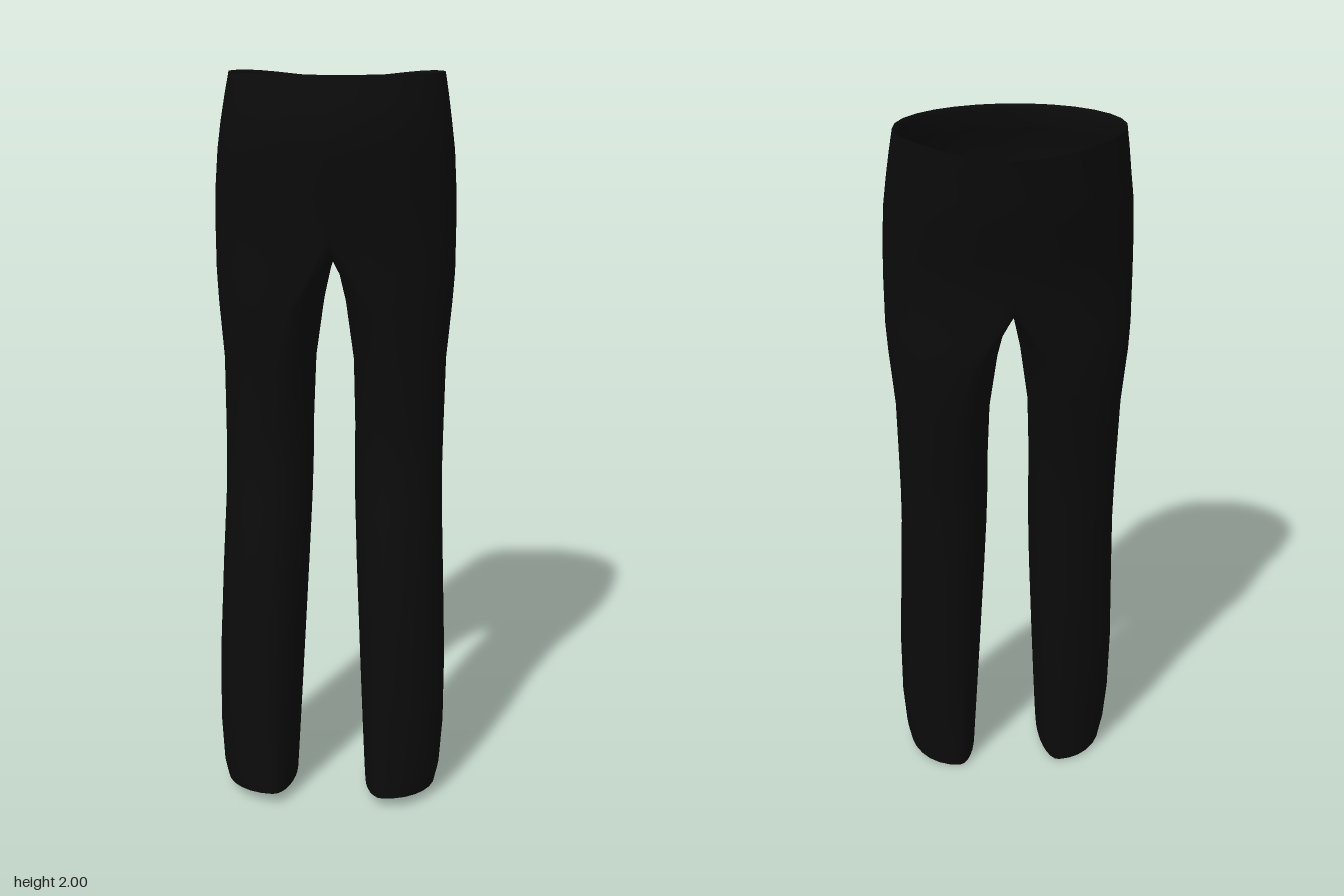
import * as THREE from 'three';
import { mergeGeometries, mergeVertices } from 'three/addons/utils/BufferGeometryUtils.js';

const HALF = 14;          // segments on the outer (or inner) half of a ring
const FULL = HALF * 2;

// Leg rings: y, inner x, centre x, outer x, back z, front z
const LEG = [
  [0.005, 0.10, 0.155, 0.30, -0.04, 0.28],
  [0.07, 0.097, 0.155, 0.311, -0.042, 0.277],
  [0.2, 0.09, 0.16, 0.32, -0.05, 0.265],
  [0.4, 0.08, 0.165, 0.32, -0.07, 0.247],
  [0.67, 0.067, 0.17, 0.31, -0.09, 0.21],
  [0.85, 0.06, 0.17, 0.303, -0.105, 0.17],
  [0.95, 0.058, 0.17, 0.302, -0.115, 0.147],
  [1.05, 0.058, 0.165, 0.303, -0.125, 0.138],
  [1.24, 0.052, 0.15, 0.306, -0.16, 0.14],
  [1.4, 0.03, 0.11, 0.32, -0.187, 0.155],
  [1.48, 0.013, 0.06, 0.325, -0.19, 0.16],
];

// Hip rings: y, outer x, back z, front z
const HIPS = [
  [1.6, 0.325, -0.195, 0.17],
  [1.7, 0.323, -0.213, 0.182],
  [1.8, 0.317, -0.248, 0.194],
  [1.87, 0.308, -0.26, 0.2],
  [1.94, 0.298, -0.272, 0.18],
  [2.0, 0.288, -0.28, 0.16],
];

// One ring, running from the front round the outside to the back, then the inside
function ring(y, xi, xc, xo, zb, zf, count, yAt = () => 0) {
  const points = [];
  for (let i = 0; i <= count; i++) {
    const t = (i % FULL) / HALF * Math.PI;
    const s = i === HALF ? 0 : Math.sin(t), c = Math.cos(t);
    const x = xc + s * (s >= 0 ? xo - xc : xc - xi);
    points.push([x, y + yAt(s, c), (zf + zb) / 2 + c * (zf - zb) / 2]);
  }
  return points;
}

// Skin a stack of rings on one side and mirror it to the other
function loftBothSides(rows) {
  const n = rows[0].length;
  const halves = [1, -1].map((side) => {
    const index = [];
    for (let r = 0; r < rows.length - 1; r++) {
      for (let i = 0; i < n - 1; i++) {
        const a = r * n + i, b = a + 1, d = a + n, c = d + 1;
        if (side > 0) index.push(a, b, c, a, c, d);
        else index.push(a, c, b, a, d, c);
      }
    }
    const g = new THREE.BufferGeometry();
    const pos = rows.flat().flatMap(([x, y, z]) => [x * side, y, z]);
    g.setAttribute('position', new THREE.Float32BufferAttribute(pos, 3));
    g.setIndex(index);
    return g;
  });
  return mergeGeometries(halves);
}

function smooth(geometries) {
  const g = mergeVertices(mergeGeometries(geometries), 1e-4);
  g.computeVertexNormals();
  return g;
}

export function createModel() {
  const group = new THREE.Group();
  const fabric = new THREE.MeshStandardMaterial({ color: 0x0b0b0b, side: THREE.DoubleSide });
  fabric.name = 'black fabric';
  const add = (name, ...geometries) => {
    const mesh = new THREE.Mesh(smooth(geometries), fabric);
    mesh.name = name;
    group.add(mesh);
  };

  // The hem rises towards the toe, the waist dips at the back
  const hemRise = (s, c) => 0.03 * (c + 1) / 2;
  const waistDip = (s, c) => -0.025 * Math.max(0, -c) ** 4;

  // Legs end in a crotch ring whose inner half sags along the centre line
  const legRows = LEG.map((p, i) => ring(...p, FULL, i === 0 ? hemRise : undefined));
  const [hy, hx, hb, hf] = HIPS[0];
  legRows.push(ring(hy, 0, 0, hx, hb, hf, FULL, (s) => (s < 0 ? -0.08 * Math.sqrt(-s) : 0)));

  const hipRows = HIPS.map(([y, xo, zb, zf], i) =>
    ring(y, 0, 0, xo, zb, zf, HALF, i === HIPS.length - 1 ? waistDip : undefined));
  add('trousers', loftBothSides(legRows), loftBothSides(hipRows));

  // Facing folded inside the waist
  const [wy, wx, wb, wf] = HIPS[HIPS.length - 1];
  add('waistFacing', loftBothSides([
    ring(wy, 0, 0, wx, wb, wf, HALF, waistDip),
    ring(wy - 0.012, 0, 0, wx - 0.012, wb + 0.014, wf - 0.012, HALF, waistDip),
    ring(wy - 0.06, 0, 0, wx - 0.008, wb + 0.016, wf - 0.004, HALF),
  ]));

  // Hems turned in to a small ankle opening
  add('hemFacing', loftBothSides([
    ring(0.03, 0.12, 0.178, 0.236, -0.02, 0.1, FULL),
    ring(0, 0.118, 0.178, 0.238, -0.022, 0.102, FULL),
    ring(...LEG[0], FULL, hemRise),
  ]));

  return group;
}
